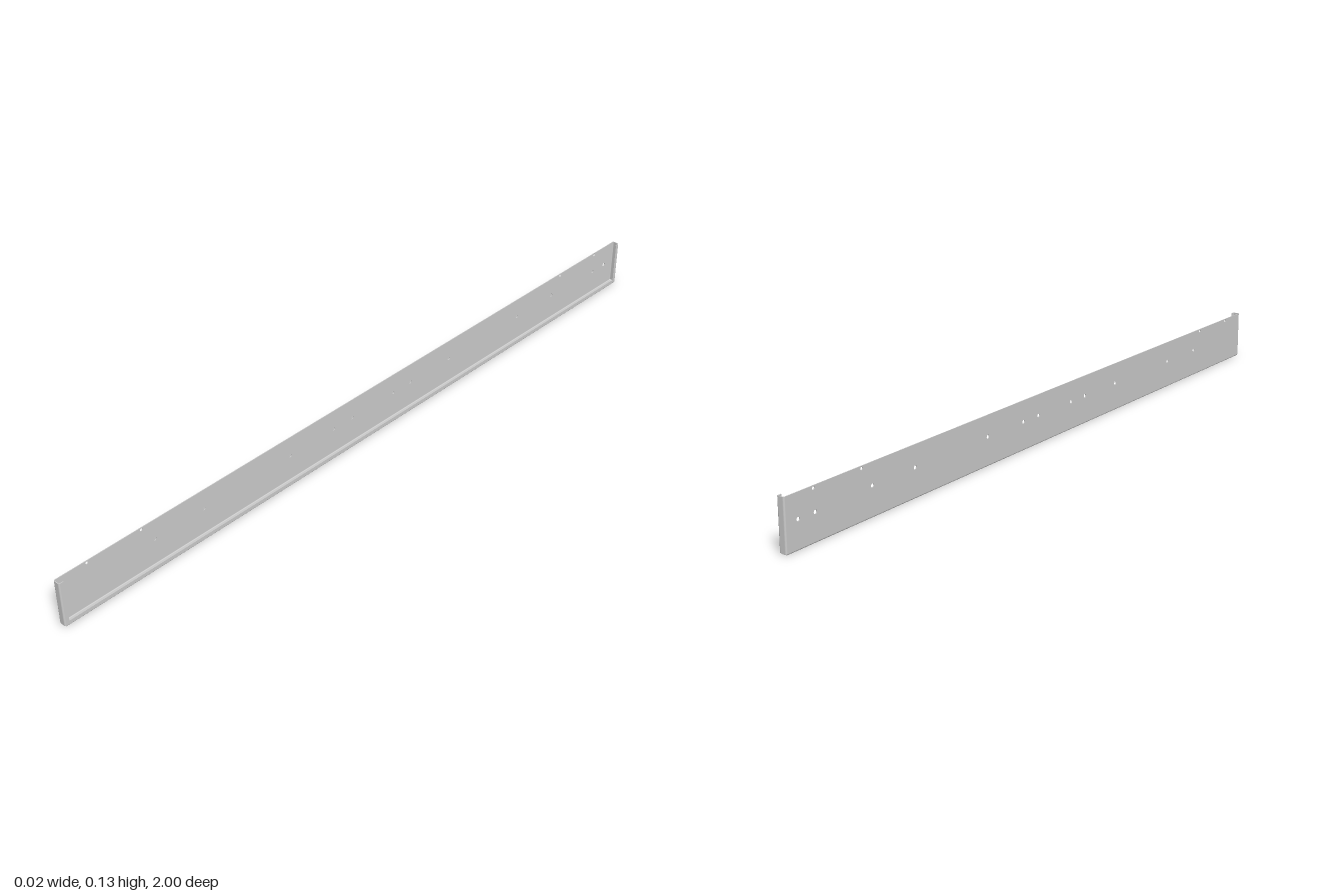
import * as THREE from 'three';

const HALF = 1;         // half length along z
const HEIGHT = 0.13;
const W = 0.01;         // half width along x
const T = 0.002;        // sheet thickness
const R = 0.004;        // outer bend radius
const LIP = 0.013;      // reach of the return lip

const material = new THREE.MeshStandardMaterial({ color: 0xcccccc });

// Folded edge in section: bend off the panel, web, second bend, return lip
function foldShape() {
  const s = new THREE.Shape();
  s.moveTo(-W, R);
  s.absarc(-W + R, R, R, Math.PI, 1.5 * Math.PI, false);
  s.absarc(W - R, R, R, 1.5 * Math.PI, 2 * Math.PI, false);
  s.lineTo(W, LIP);
  s.lineTo(W - T, LIP);
  s.absarc(W - R, R, R - T, 0, -Math.PI / 2, true);
  s.absarc(-W + R, R, R - T, 1.5 * Math.PI, Math.PI, true);
  s.closePath();
  return s;
}

// Fold extruded to a length, centred on its own run
function foldGeometry(length) {
  const g = new THREE.ExtrudeGeometry(foldShape(), { depth: length, bevelEnabled: false, curveSegments: 6 });
  return g.translate(0, 0, -length / 2);
}

export function createModel() {
  const group = new THREE.Group();
  const add = (name, geometry) => {
    const mesh = new THREE.Mesh(geometry, material);
    mesh.name = name;
    group.add(mesh);
  };

  // Flat panel, drawn in (z, y), with its drilled holes
  const panel = new THREE.Shape();
  panel.moveTo(-HALF + R, R);
  panel.lineTo(HALF - R, R);
  panel.lineTo(HALF - R, HEIGHT);
  panel.lineTo(-HALF + R, HEIGHT);
  panel.closePath();
  const drill = (z, y, r) => {
    const hole = new THREE.Path();
    hole.absarc(z, y, r, 0, Math.PI * 2, true);
    panel.holes.push(hole);
  };
  for (const z of [0.72, 0.57, 0.29, 0.14, 0.075]) {
    drill(z, 0.075, 0.005);
    drill(-z, 0.075, 0.005);
  }
  for (const z of [0.91, 0.755, -0.755, -0.91]) drill(z, 0.124, 0.004);
  for (const z of [-0.907, -0.96]) drill(z, 0.07, 0.005);
  const panelGeometry = new THREE.ExtrudeGeometry(panel, { depth: T, bevelEnabled: false, curveSegments: 8 });
  add('panel', panelGeometry.rotateY(-Math.PI / 2).translate(-W + T, 0, 0));

  // Folded bottom edge
  add('bottomFlange', foldGeometry(2 * (HALF - R)));

  // Folded ends, standing upright and facing each other
  for (const side of [1, -1]) {
    const g = foldGeometry(HEIGHT - R);
    g.rotateX(-side * Math.PI / 2).translate(0, (HEIGHT + R) / 2, side * HALF);
    add(side > 0 ? 'frontEndFlange' : 'backEndFlange', g);
  }
  return group;
}
